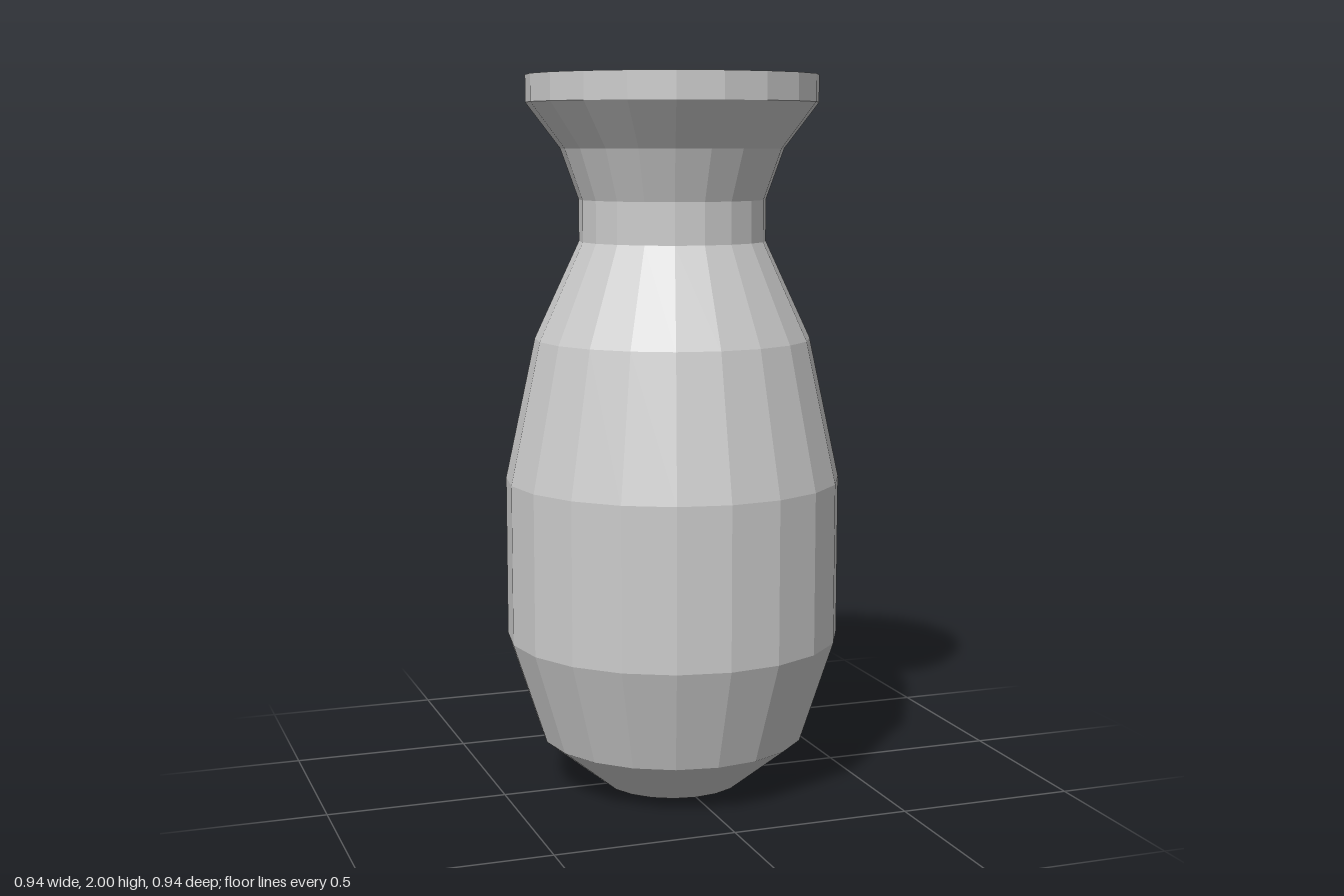
import * as THREE from 'three';

const SIDES = 20;

export function createModel() {
  const vase = new THREE.Group();
  vase.name = 'vase';

  // Spins a [radius, height] profile around the y axis
  const addLathe = (name, profile, flatShading) => {
    const points = profile.map(([r, y]) => new THREE.Vector2(r, y));
    const material = new THREE.MeshStandardMaterial({ color: 0xcccccc, flatShading });
    const mesh = new THREE.Mesh(new THREE.LatheGeometry(points, SIDES), material);
    mesh.name = name;
    vase.add(mesh);
  };

  // Flat underside and smooth bevel of the foot
  addLathe('base', [[0, 0], [0.2, 0]], true);
  addLathe('foot', [[0.2, 0], [0.375, 0.14]], false);

  // Faceted belly, shoulder, neck and flared lip
  addLathe('body', [
    [0.375, 0.14], [0.47, 0.43], [0.47, 0.88], [0.385, 1.275], [0.26, 1.545],
    [0.26, 1.66], [0.31, 1.8], [0.405, 1.925], [0.405, 2],
  ], true);

  // Flat top ring
  addLathe('rim', [[0.405, 2], [0.34, 2]], true);

  // Funnel-shaped hollow with a small flat floor
  addLathe('hollow', [[0.34, 2], [0.2, 1.65], [0.12, 1.25], [0, 1.25]], true);

  return vase;
}
